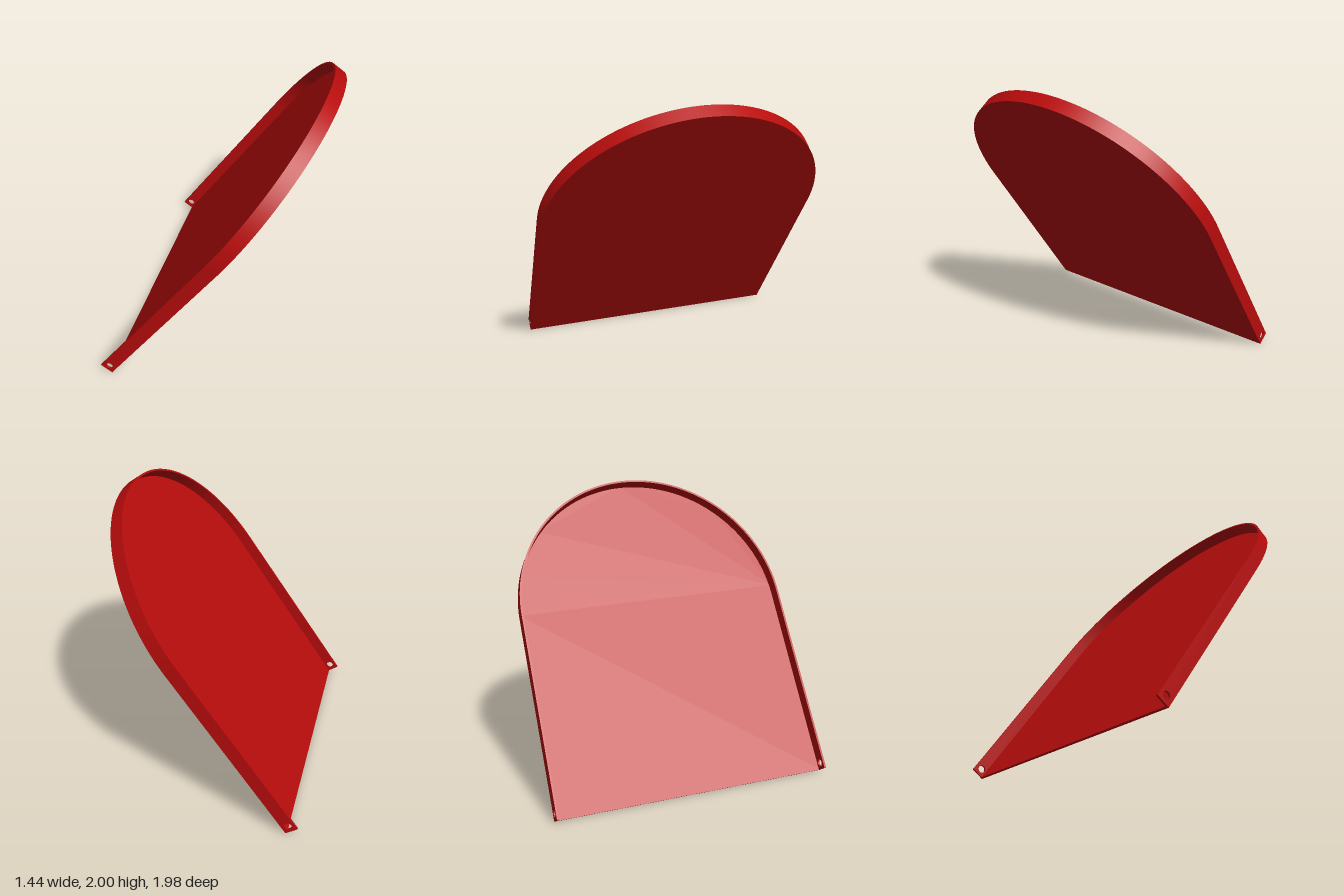
import * as THREE from 'three';
import { toCreasedNormals } from 'three/addons/utils/BufferGeometryUtils.js';

const R = 0.99;         // half width and radius of the rounded end
const L = 2.374 - R;    // length of the straight part
const T = 0.014;        // sheet thickness
const H = 0.097;        // total height of the rim
const TILT = THREE.MathUtils.degToRad(55);

export function createModel() {
  const material = new THREE.MeshStandardMaterial({ color: 0xb80c0c });
  const model = new THREE.Group();
  model.name = 'tiltedFlap';

  const add = (name, shape, depth) => {
    const extruded = new THREE.ExtrudeGeometry(shape, { depth, bevelEnabled: false, curveSegments: 64 });
    const mesh = new THREE.Mesh(toCreasedNormals(extruded, 0.5), material);
    mesh.name = name;
    model.add(mesh);
    return mesh;
  };

  // Flat panel: straight hinge end, semicircular far end
  const panel = new THREE.Shape();
  panel.moveTo(0, -R);
  panel.lineTo(L, -R);
  panel.absarc(L, 0, R, -Math.PI / 2, Math.PI / 2, false);
  panel.lineTo(0, R);
  panel.closePath();
  add('panel', panel, T).rotation.x = -Math.PI / 2;

  // Curved rim around the far end
  const arch = new THREE.Shape();
  arch.absarc(L, 0, R, -Math.PI / 2, Math.PI / 2, false);
  arch.absarc(L, 0, R - T, Math.PI / 2, -Math.PI / 2, true);
  arch.closePath();
  const rim = add('curvedRim', arch, H - T);
  rim.rotation.x = -Math.PI / 2;
  rim.position.y = T;

  // Straight side rims with a pivot hole near the hinge end
  const side = new THREE.Shape();
  side.moveTo(0, T);
  side.lineTo(L, T);
  side.lineTo(L, H);
  side.lineTo(0, H);
  side.closePath();
  const hole = new THREE.Path();
  hole.absarc(0.046, 0.05, 0.026, 0, Math.PI * 2, true);
  side.holes.push(hole);
  add('frontSideRim', side, T).position.z = R - T;
  add('backSideRim', side, T).position.z = -R;

  // Lean the whole flap up from its hinge edge
  model.rotation.z = TILT;
  model.position.set(-0.641, 0, 0);
  const root = new THREE.Group();
  root.name = 'flap';
  root.add(model);
  return root;
}
